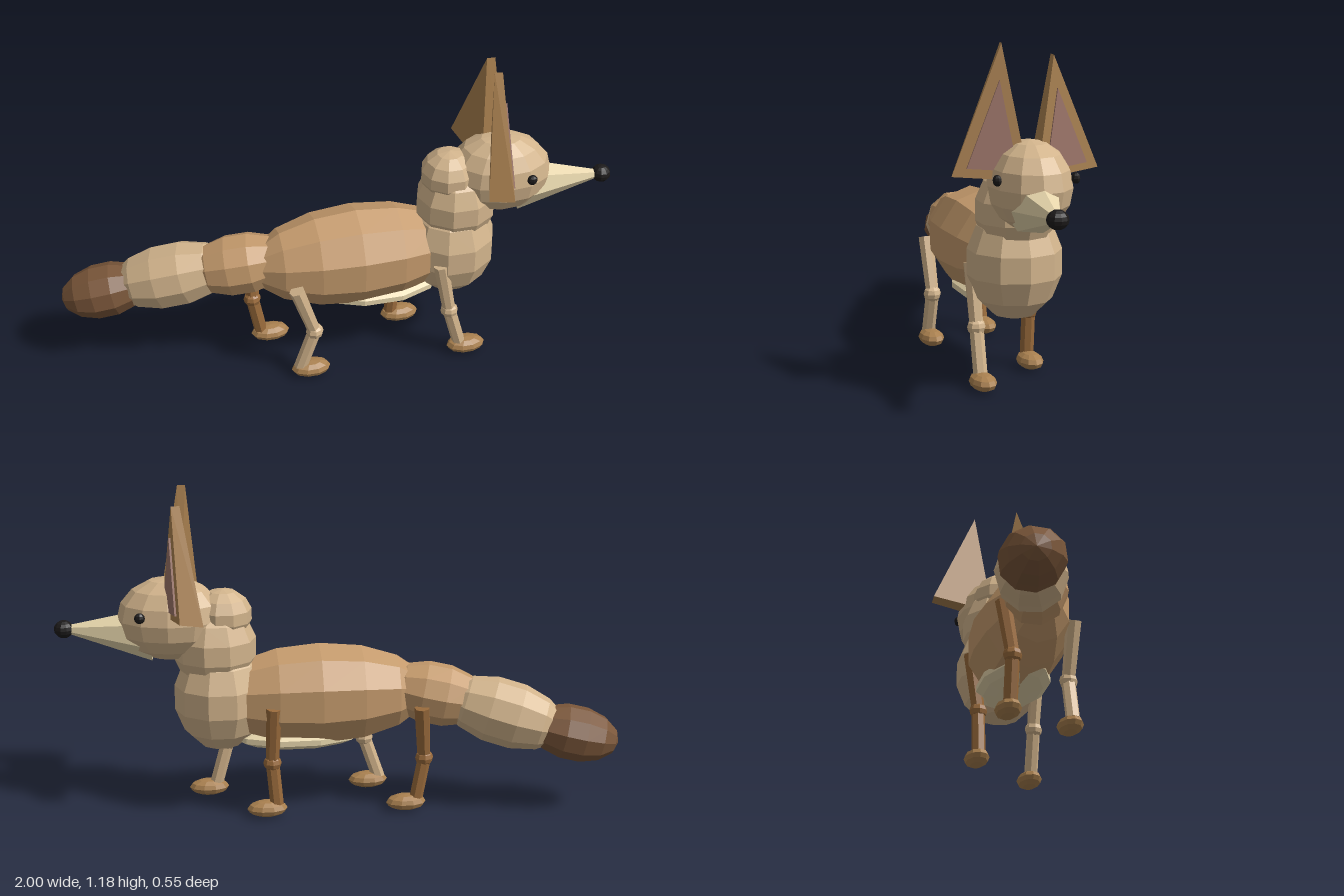
import * as THREE from 'three';
import { ConvexGeometry } from 'three/addons/geometries/ConvexGeometry.js';

const V = (x, y, z) => new THREE.Vector3(x, y, z);
const paint = color => new THREE.MeshStandardMaterial({ color, flatShading: true });
const tan = paint(0xd2b48c), fur = paint(0xc49a6c), brown = paint(0xa9804f), darkBrown = paint(0x7b573a);
const cream = paint(0xe6d5ab), black = paint(0x1c1a1a), pink = paint(0x9c7468), shade = paint(0x9a6b3c);
const UP = V(0, 1, 0);

export function createModel() {
  const model = new THREE.Group();
  model.name = 'fox';

  const add = (name, geometry, material, parent = model) => {
    const mesh = new THREE.Mesh(geometry, material);
    mesh.name = name;
    parent.add(mesh);
    return mesh;
  };

  // Faceted ellipsoid; radii are (across, along axis, across)
  const blob = (name, center, radii, material, axis = UP, sides = 10, rings = 7, parent = model) => {
    const mesh = add(name, new THREE.SphereGeometry(1, sides, rings), material, parent);
    mesh.scale.set(...radii);
    mesh.position.copy(center);
    mesh.quaternion.setFromUnitVectors(UP, axis.clone().normalize());
    return mesh;
  };

  // Tapered rod between two points
  const rod = (name, a, b, ra, rb, sides, material, parent = model) => {
    const dir = b.clone().sub(a);
    const mesh = add(name, new THREE.CylinderGeometry(rb, ra, dir.length(), sides), material, parent);
    mesh.position.copy(a).add(b).multiplyScalar(0.5);
    mesh.quaternion.setFromUnitVectors(UP, dir.normalize());
    return mesh;
  };

  // Trunk, lengthwise facets
  blob('body', V(0.06, 0.425, 0), [0.19, 0.4, 0.17], fur, V(1, 0, 0), 10, 8);
  blob('belly', V(0.14, 0.278, 0), [0.24, 0.045, 0.13], cream);
  blob('chest', V(0.415, 0.43, 0.01), [0.167, 0.2, 0.165], tan);
  blob('neck', V(0.43, 0.61, 0.01), [0.15, 0.16, 0.14], tan);
  blob('nape', V(0.4, 0.73, 0.01), [0.105, 0.095, 0.105], tan);

  // Tail, curling down and to the right
  blob('tailBase', V(-0.36, 0.42, -0.04), [0.115, 0.19, 0.115], fur, V(-0.93, -0.17, -0.2));
  blob('tailMiddle', V(-0.6, 0.36, -0.11), [0.122, 0.23, 0.122], tan, V(-0.9, -0.25, -0.25));
  blob('tailTip', V(-0.845, 0.292, -0.166), [0.1, 0.165, 0.11], darkBrown, V(-0.93, -0.2, -0.15));

  // Head turned slightly to its left
  blob('head', V(0.585, 0.722, 0.02), [0.188, 0.15, 0.14], tan, UP, 12, 8).rotation.y = -0.1;
  rod('snout', V(0.645, 0.665, 0.03), V(0.95, 0.68, 0.066), 0.098, 0.014, 7, cream);
  blob('nose', V(0.96, 0.68, 0.067), [0.035, 0.032, 0.036], black, UP, 10, 8);
  blob('leftEye', V(0.663, 0.755, 0.158), [0.019, 0.019, 0.015], black, UP, 8, 6);
  blob('rightEye', V(0.694, 0.755, -0.097), [0.019, 0.019, 0.015], black, UP, 8, 6);

  // Ears: tapered triangular wedges with a smaller wedge inset in front
  const ear = (name, back, front) => {
    const group = new THREE.Group();
    group.name = name;
    model.add(group);
    add('outerEar', new ConvexGeometry([...back, ...front]), brown, group);
    const mid = front[0].clone().add(front[1]).add(front[2]).divideScalar(3);
    const inner = front.map(p => p.clone().lerp(mid, 0.34).add(V(0.008, -0.02, 0)));
    const sunk = inner.map(p => p.clone().add(V(-0.02, 0, 0)));
    add('innerEar', new ConvexGeometry([...inner, ...sunk]), pink, group);
  };
  ear('leftEar',
    [V(0.475, 0.752, 0.247), V(0.55, 0.735, 0.015), V(0.518, 1.18, 0.1)],
    [V(0.56, 0.756, 0.277), V(0.625, 0.74, 0.035), V(0.546, 1.18, 0.104)]);
  ear('rightEar',
    [V(0.48, 0.755, -0.235), V(0.525, 0.735, 0.005), V(0.545, 1.14, -0.065)],
    [V(0.56, 0.763, -0.228), V(0.615, 0.74, 0.005), V(0.575, 1.14, -0.065)]);

  // Legs: hip, knee and ankle as [x, y], then foot x
  const legs = [
    ['frontLeftLeg', 1, [0.345, 0.42], [0.385, 0.205], [0.43, 0.04], 0.455],
    ['hindLeftLeg', 1, [-0.19, 0.4], [-0.125, 0.2], [-0.18, 0.04], -0.14],
    ['frontRightLeg', -1, [0.235, 0.42], [0.24, 0.205], [0.225, 0.04], 0.26],
    ['hindRightLeg', -1, [-0.295, 0.4], [-0.31, 0.2], [-0.28, 0.04], -0.245],
  ];
  for (const [name, side, hip, knee, ankle, footX] of legs) {
    const group = new THREE.Group();
    group.name = name;
    model.add(group);
    const coat = side > 0 ? tan : shade;
    const z = side > 0 ? 0.135 : -0.105;
    const kneeAt = V(...knee, z);
    rod('upperLeg', V(...hip, side > 0 ? 0.14 : -0.135), kneeAt, 0.028, 0.024, 7, coat, group);
    rod('lowerLeg', kneeAt, V(...ankle, z), 0.025, 0.025, 7, coat, group);
    blob('knee', kneeAt, [0.033, 0.03, 0.033], coat, UP, 8, 6, group);
    blob('foot', V(footX, 0.032, z), [0.073, 0.03, 0.045], brown, UP, 10, 6, group);
  }
  return model;
}
